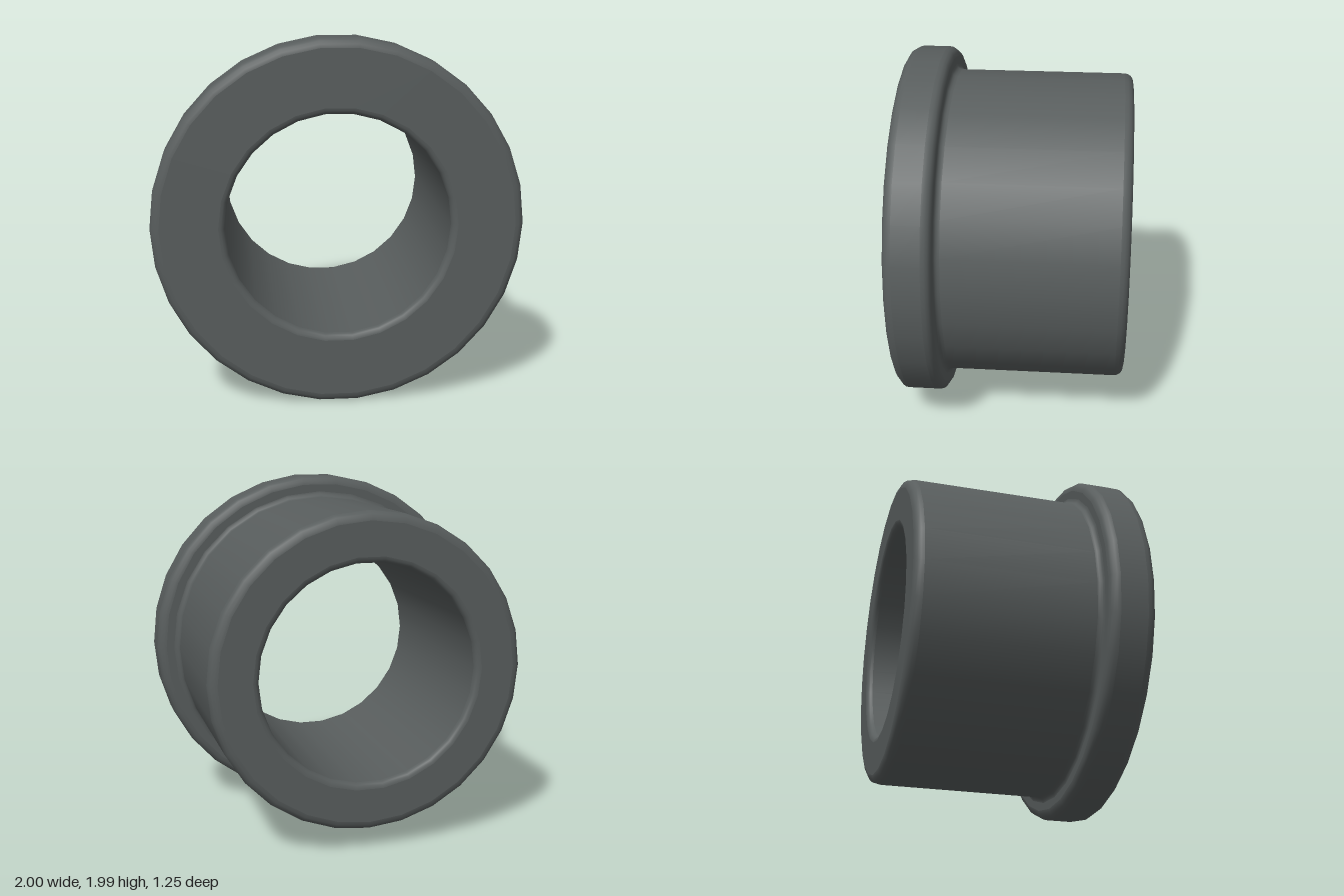
import * as THREE from 'three';

export function createModel() {
  const model = new THREE.Group();
  const metal = new THREE.MeshStandardMaterial({ color: 0x585d5d });
  metal.name = 'dark grey metal';

  const FRONT = 0.625, BACK = -0.625, SHOULDER = 0.375;
  const FLANGE = { r: 1, sides: 30 }, BODY = { r: 0.875, sides: 28 }, BORE = { r: 0.605, sides: 26 };
  const edge = 0.05, bevel = 0.035, root = 0.03;

  const add = (name, geometry) => {
    const mesh = new THREE.Mesh(geometry, metal);
    mesh.name = name;
    mesh.position.y = 1;
    model.add(mesh);
  };

  // Surface swept around the z axis from [radius, z] points
  const turn = (name, points, sides) => {
    const g = new THREE.LatheGeometry(points.map(p => new THREE.Vector2(...p)), sides, Math.PI / 2);
    add(name, g.rotateX(Math.PI / 2));
  };

  // Quarter-round edge, angles in degrees
  const round = (name, r, z, size, from, to, sides) => {
    const points = [];
    for (let i = 0; i <= 4; i++) {
      const a = THREE.MathUtils.degToRad(from + (to - from) * i / 4);
      points.push([r + size * Math.cos(a), z + size * Math.sin(a)]);
    }
    turn(name, points, sides);
  };

  const circle = (r, sides) => Array.from({ length: sides }, (_, i) => {
    const a = i / sides * Math.PI * 2;
    return new THREE.Vector2(r * Math.cos(a), r * Math.sin(a));
  });

  // Flat ring whose two rims may have different side counts
  const ring = (name, outer, outerSides, inner, innerSides, z, backward) => {
    const shape = new THREE.Shape(circle(outer, outerSides));
    shape.holes.push(new THREE.Path(circle(inner, innerSides)));
    const g = new THREE.ShapeGeometry(shape);
    if (backward) g.rotateY(Math.PI);
    add(name, g.translate(0, 0, z));
  };

  // Flange
  ring('flangeFront', FLANGE.r - edge, FLANGE.sides, BORE.r + bevel, BORE.sides, FRONT, false);
  round('flangeFrontEdge', FLANGE.r - edge, FRONT - edge, edge, 0, 90, FLANGE.sides);
  turn('flangeRim', [[FLANGE.r, SHOULDER + edge], [FLANGE.r, FRONT - edge]], FLANGE.sides);
  round('flangeBackEdge', FLANGE.r - edge, SHOULDER + edge, edge, -90, 0, FLANGE.sides);
  ring('flangeBack', FLANGE.r - edge, FLANGE.sides, BODY.r + root, BODY.sides, SHOULDER, true);

  // Sleeve, with a small fillet where it meets the flange
  round('sleeveFillet', BODY.r + root, SHOULDER - root, root, 180, 90, BODY.sides);
  turn('sleeveWall', [[BODY.r, BACK + edge], [BODY.r, SHOULDER - root]], BODY.sides);
  round('sleeveBackEdge', BODY.r - edge, BACK + edge, edge, -90, 0, BODY.sides);
  ring('sleeveBack', BODY.r - edge, BODY.sides, BORE.r + bevel, BORE.sides, BACK, true);

  // Bore, rounded at both mouths
  round('boreFrontEdge', BORE.r + bevel, FRONT - bevel, bevel, 90, 180, BORE.sides);
  turn('boreWall', [[BORE.r, FRONT - bevel], [BORE.r, BACK + bevel]], BORE.sides);
  round('boreBackEdge', BORE.r + bevel, BACK + bevel, bevel, 180, 270, BORE.sides);

  return model;
}
